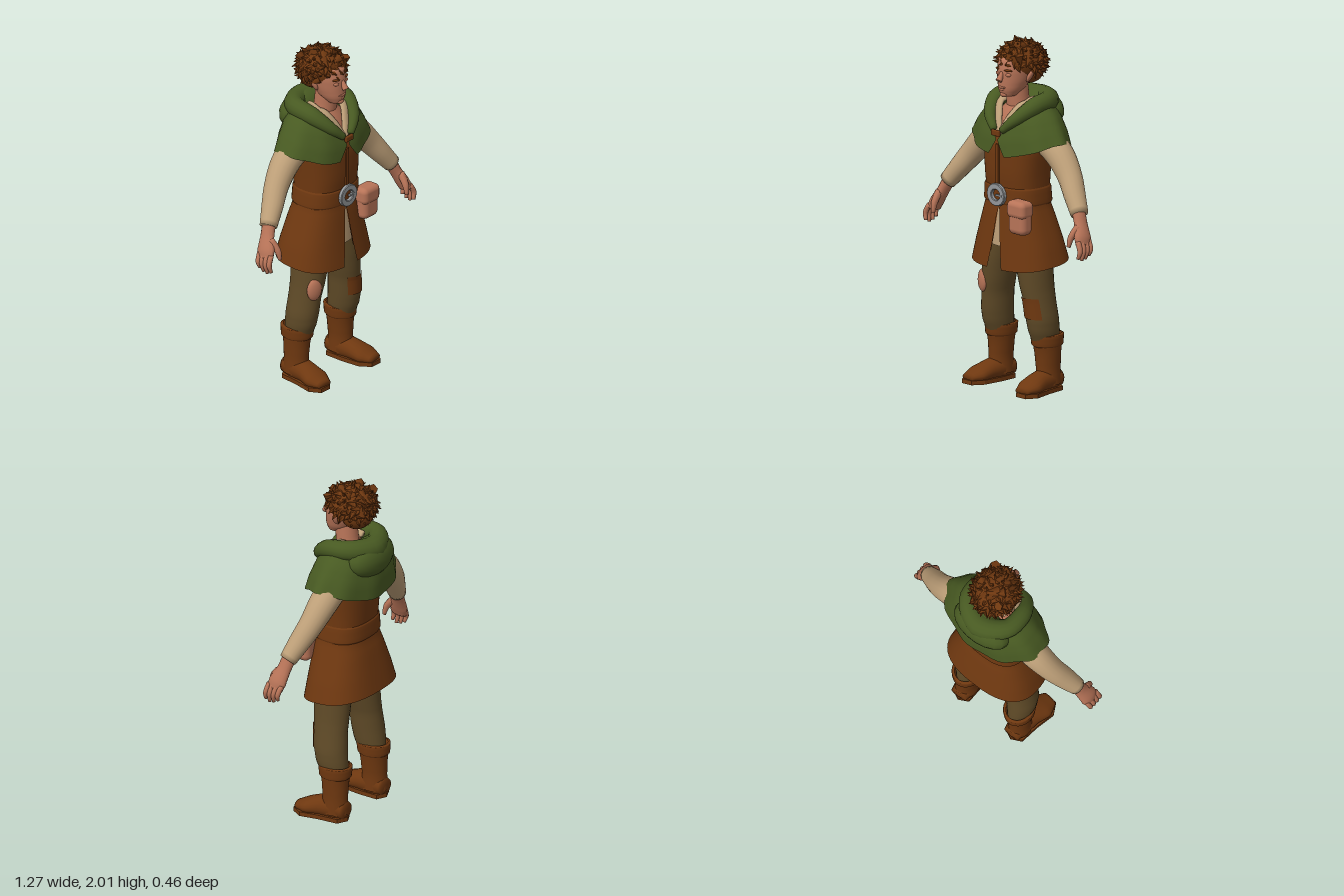
import * as THREE from 'three';
import { RoundedBoxGeometry } from 'three/addons/geometries/RoundedBoxGeometry.js';

const V = (x, y, z) => new THREE.Vector3(x, y, z);
const mat = (name, color) => new THREE.MeshStandardMaterial({ name, color, side: THREE.DoubleSide });
const lerp = THREE.MathUtils.lerp;

// Grid surface from fn(u, v); closed joins the last column to the first
function surface(fn, nu, nv, closed = true) {
  const cols = closed ? nu : nu + 1, pos = [], idx = [];
  for (let j = 0; j <= nv; j++)
    for (let i = 0; i < cols; i++) pos.push(...fn(i / nu, j / nv).toArray());
  for (let j = 0; j < nv; j++)
    for (let i = 0; i < nu; i++) {
      const a = j * cols + i, b = j * cols + (i + 1) % cols;
      idx.push(a, b, b + cols, a, b + cols, a + cols);
    }
  const g = new THREE.BufferGeometry();
  g.setAttribute('position', new THREE.Float32BufferAttribute(pos, 3));
  g.setIndex(idx);
  g.computeVertexNormals();
  return g;
}

// Stack of horizontal ovals, bottom to top: [y, cx, cz, rx, rz, frontGap]
function loft(rows, { n = 28, e = 1, gap = false, range = null, warp = null, sub = 3 } = {}) {
  const m = rows.length - 1;
  return surface((u, v) => {
    const k = Math.min(Math.floor(v * m + 1e-6), m - 1), t = v * m - k;
    const r = rows[k].map((a, i) => lerp(a, rows[k + 1][i], t));
    const g = r[5] || 0;
    const a = range ? lerp(range[0], range[1], u) : lerp(g, 2 * Math.PI - g, u);
    const s = Math.sin(a), c = Math.cos(a);
    const p = V(r[1] + r[3] * Math.sign(s) * Math.abs(s) ** e, r[0],
      r[2] + r[4] * Math.sign(c) * Math.abs(c) ** e);
    if (warp) warp(p, a, v);
    return p;
  }, n, m * sub, !gap && !range);
}

// Tapered closed tube: points [x, y, z], radii [r1, r2]; ref sets the roll
function limb(points, radii, ref = V(0, 0, 1), n = 14, nv = 16) {
  const curve = new THREE.CatmullRomCurve3(points.map(p => V(...p)));
  const m = radii.length - 1;
  return surface((u, v) => {
    const j = Math.round(v * nv);
    const t = THREE.MathUtils.clamp((j - 1) / (nv - 2), 0, 1);
    const k = Math.min(Math.floor(t * m), m - 1), f = t * m - k, end = j === 0 || j === nv ? 0 : 1;
    const r1 = lerp(radii[k][0], radii[k + 1][0], f) * end;
    const r2 = lerp(radii[k][1], radii[k + 1][1], f) * end;
    const tan = curve.getTangent(t), e2 = ref.clone().cross(tan).normalize(), e1 = e2.clone().cross(tan);
    const a = u * Math.PI * 2;
    return curve.getPoint(t).addScaledVector(e1, r1 * Math.cos(a)).addScaledVector(e2, r2 * Math.sin(a));
  }, n, nv);
}

export function createModel() {
  const model = new THREE.Group();
  const skin = mat('skin', 0xb87458), brown = mat('brown leather', 0x6f3810), green = mat('green cloth', 0x485a22);
  const cream = mat('cream linen', 0xbd9f78), olive = mat('olive trousers', 0x5f4a27), silver = mat('silver', 0x94979a);
  const add = (name, geo, m, x = 0, y = 0, z = 0) => {
    const mesh = new THREE.Mesh(geo, m);
    mesh.name = name;
    mesh.position.set(x, y, z);
    model.add(mesh);
    return mesh;
  };
  const ball = (name, m, x, y, z, sx, sy, sz) => {
    const b = add(name, new THREE.SphereGeometry(1, 18, 12), m, x, y, z);
    b.scale.set(sx, sy, sz);
    return b;
  };
  let seed = 7;
  const rand = () => (seed = (seed * 16807) % 2147483647) / 2147483647 - 0.5;

  // Head and neck
  add('head', loft([[1.68, 0, .1, .001, .001], [1.69, 0, .1, .042, .045], [1.73, 0, .073, .07, .085],
    [1.78, 0, .053, .087, .105], [1.84, 0, .035, .098, .122], [1.9, 0, .025, .095, .12], [1.95, 0, .02, .01, .01]]), skin);
  add('neck', loft([[1.55, 0, 0, .09, .08], [1.64, 0, .025, .064, .066], [1.76, 0, .035, .06, .062]]), skin);
  const nose = add('nose', limb([[0, 1.83, .15], [0, 1.8, .165], [0, 1.782, .178]], [[.01, .01], [.016, .016], [.016, .021]]), skin);
  nose.name = 'nose';
  ball('upperLip', skin, 0, 1.742, .15, .03, .008, .012);
  ball('lowerLip', skin, 0, 1.727, .146, .025, .008, .012);
  ball('chin', skin, 0, 1.7, .135, .026, .018, .02);
  for (const s of [-1, 1]) {
    const ear = ball('ear', skin, s * .1, 1.808, .025, .014, .045, .026);
    ear.rotation.set(-.2, s * .5, -s * .35);
    const brow = ball('eyebrow', brown, s * .04, 1.842, .142, .026, .007, .01);
    brow.rotation.y = s * .35;
    ball('eyelid', skin, s * .038, 1.817, .14, .02, .011, .012);
  }

  // Curly hair: cap with scattered tufts
  ball('hairCap', brown, 0, 1.875, -.004, .128, .108, .142);
  ball('hairNape', brown, 0, 1.82, -.045, .105, .085, .088);
  const N = 190;
  for (let i = 0; i < N; i++) {
    const y = 1 - 2 * (i + .5) / N, r = Math.sqrt(1 - y * y), a = i * 2.39996;
    const d = V(r * Math.sin(a), y, r * Math.cos(a));
    if ((d.z > .3 && d.y < -.12) || (d.z > -.25 && d.y < -.5) || d.y < -.88) continue;
    const tuft = add('hairTuft', new THREE.ConeGeometry(.03, .072, 5), brown,
      d.x * .127, 1.87 + d.y * .106, d.z * .138 - .004);
    const dir = V(d.x * .6 + rand(), d.y * .6 + rand() - .2, d.z * .6 + rand()).normalize();
    tuft.quaternion.setFromUnitVectors(V(0, 1, 0), dir);
  }

  // Chest, shirt collar and sleeves
  add('chest', loft([[1.36, 0, .01, .17, .14], [1.5, 0, .01, .16, .14], [1.58, 0, 0, .13, .115], [1.64, 0, .01, .07, .07]]), skin);
  for (const s of [-1, 1]) {
    add('shirtCollar', limb([[s * .005, 1.48, .168], [s * .045, 1.56, .135], [s * .085, 1.64, .075], [s * .07, 1.66, -.03]],
      [[.015, .02], [.016, .028], [.016, .028], [.012, .02]], V(0, 0, 1)), cream);
    add('sleeve', limb([[s * .17, 1.45, -.02], [s * .29, 1.375, -.018], [s * .39, 1.27, 0], [s * .46, 1.18, .03], [s * .53, 1.09, .06]],
      [[.085, .085], [.083, .083], [.07, .07], [.063, .06], [.05, .05]], V(0, 0, 1), 18, 20), cream);

    // Hand with four fingers and a thumb
    add('palm', limb([[s * .515, 1.11, .055], [s * .55, 1.04, .07], [s * .585, .97, .09], [s * .6, .925, .1]],
      [[.04, .036], [.042, .03], [.057, .03], [.05, .022]]), skin);
    for (let k = 0; k < 4; k++) {
      const z = .056 + k * .027, drop = [.02, .005, 0, .012][k];
      add('finger', limb([[s * .597, .955, z], [s * .622, .905, z + .008], [s * .612, .85 + drop, z + .014]],
        [[.016, .016], [.015, .015], [.01, .01]], V(0, 0, 1), 8, 8), skin);
    }
    add('thumb', limb([[s * .56, 1.03, .1], [s * .55, .975, .145], [s * .545, .92, .16]],
      [[.022, .022], [.02, .018], [.011, .011]], V(0, 0, 1), 8, 8), skin);
  }

  // Tunic with a split skirt, belt and shirt tail
  add('tunic', loft([[.735, 0, .008, .292, .207, .12], [.85, 0, .012, .262, .188, .07], [1, 0, .02, .212, .163, .03],
    [1.06, 0, .024, .192, .15, 0], [1.12, 0, .026, .181, .143, 0], [1.25, 0, .028, .187, .155, 0],
    [1.4, 0, .022, .2, .16, 0], [1.48, 0, .01, .19, .145, 0]],
  { n: 48, e: .78, gap: true, warp: (p, a, v) => { p.y -= .028 * Math.cos(a) * Math.max(0, 1 - v * 3); } }), brown);
  add('tunicLining', loft([[.8, 0, .012, .25, .175, .13], [1.05, 0, .024, .185, .14, .04]], { n: 40, e: .78, gap: true }), brown);
  add('shirtTail', loft([[.83, 0, .02, .19, .155], [1.06, 0, .022, .185, .142]], { n: 8, range: [-.4, .4] }), cream);
  add('belt', loft([[1.075, 0, .025, .193, .152], [1.085, 0, .025, .197, .157], [1.165, 0, .027, .19, .155], [1.175, 0, .027, .185, .149]],
    { n: 40, e: .78 }), brown);
  add('frontSeam', new THREE.BoxGeometry(.022, .24, .01), brown, 0, 1.3, .186);

  // Buckle
  const ring = new THREE.Shape().absellipse(0, 0, .066, .062, 0, Math.PI * 2);
  ring.holes.push(new THREE.Path().absellipse(0, 0, .038, .035, 0, Math.PI * 2));
  add('buckle', new THREE.ExtrudeGeometry(ring, { depth: .016, bevelSize: .004, bevelThickness: .004, bevelSegments: 1, curveSegments: 8 }),
    silver, 0, 1.13, .184);
  add('buckleProng', new THREE.BoxGeometry(.05, .01, .012), silver, .025, 1.13, .2);

  // Pouch
  add('pouch', new RoundedBoxGeometry(.13, .19, .09, 3, .035), skin, .175, 1.025, .178);
  add('pouchFlap', new RoundedBoxGeometry(.138, .1, .1, 3, .03), skin, .175, 1.075, .18);

  // Shoulder cape, lowered hood and clasp
  add('cape', loft([[1.4, 0, 0, .335, .203, .2], [1.48, 0, -.005, .295, .198, .02], [1.56, 0, -.012, .245, .178, .22],
    [1.63, 0, -.02, .18, .14, .55], [1.66, 0, -.02, .12, .1, .9]],
  { n: 48, gap: true, warp: (p, a, v) => {
    p.y -= .045 * Math.cos(2 * a) * (1 - v);
    const fold = 1 + .025 * Math.sin(a * 9) * (1 - v);
    p.x *= fold; p.z *= fold;
  } }), green);
  add('hoodRoll', limb([[-.03, 1.5, .185], [-.1, 1.57, .145], [-.15, 1.635, .05], [-.135, 1.65, -.08], [0, 1.635, -.15],
    [.135, 1.65, -.08], [.15, 1.635, .05], [.1, 1.57, .145], [.03, 1.5, .185]],
  [[.02, .02], [.035, .035], [.052, .05], [.058, .055], [.07, .07], [.058, .055], [.052, .05], [.035, .035], [.02, .02]],
  V(0, 1, 0), 14, 42), green);
  const bag = ball('hoodBag', green, 0, 1.58, -.13, .185, .115, .098);
  bag.rotation.x = .15;
  add('capeClasp', new RoundedBoxGeometry(.065, .035, .02, 2, .008), brown, 0, 1.487, .2);

  for (const s of [-1, 1]) {
    // Trouser legs
    add('trouserLeg', loft([[.29, s * .182, -.012, .07, .085], [.35, s * .183, .002, .08, .096], [.42, s * .18, .012, .084, .1],
      [.52, s * .168, .02, .081, .1], [.6, s * .153, .026, .086, .106], [.72, s * .135, .03, .096, .113],
      [.85, s * .11, .022, .106, .12], [1, s * .09, .02, .09, .12]]), olive);
    // Boots: shaft, cuff, foot and sole
    add('bootShaft', loft([[.04, s * .19, -.025, .066, .08], [.13, s * .19, -.025, .062, .075], [.22, s * .187, -.024, .069, .08],
      [.3, s * .184, -.022, .078, .092], [.325, s * .184, -.022, .083, .098], [.33, s * .184, -.022, .07, .085]]), brown);
    add('bootCuff', loft([[.26, s * .185, -.023, .077, .088], [.268, s * .185, -.023, .083, .096], [.325, s * .184, -.022, .087, .101],
      [.332, s * .184, -.022, .075, .09]]), brown);
    const foot = limb([[s * .188, .06, -.102], [s * .19, .065, -.03], [s * .198, .06, .06], [s * .21, .045, .14], [s * .218, .035, .208]],
      [[.05, .05], [.075, .065], [.06, .066], [.045, .078], [.022, .045]], V(0, 1, 0), 18, 20);
    const p = foot.attributes.position;
    for (let i = 0; i < p.count; i++) p.setY(i, Math.max(p.getY(i), .012));
    foot.computeVertexNormals();
    add('bootFoot', foot, brown);
    const outline = new THREE.Shape([[.188, .11], [.13, .08], [.128, -.04], [.138, -.15], [.18, -.215], [.255, -.215], [.29, -.15],
      [.265, -.04], [.25, .08]].map(([x, z]) => new THREE.Vector2(s * x, z)));
    add('bootSole', new THREE.ExtrudeGeometry(outline, { depth: .025, bevelEnabled: false }).rotateX(-Math.PI / 2)
      .scale(1, 1, 1), brown);
  }

  // Knee patches
  add('leftKneePatch', loft([[.43, .179, .013, .09, .106], [.52, .168, .02, .087, .106], [.55, .162, .023, .088, .108]],
    { n: 12, range: [-.75, .9] }), brown);
  ball('rightKneePatch', skin, -.195, .587, .112, .046, .066, .024).rotation.y = -.35;
  return model;
}
